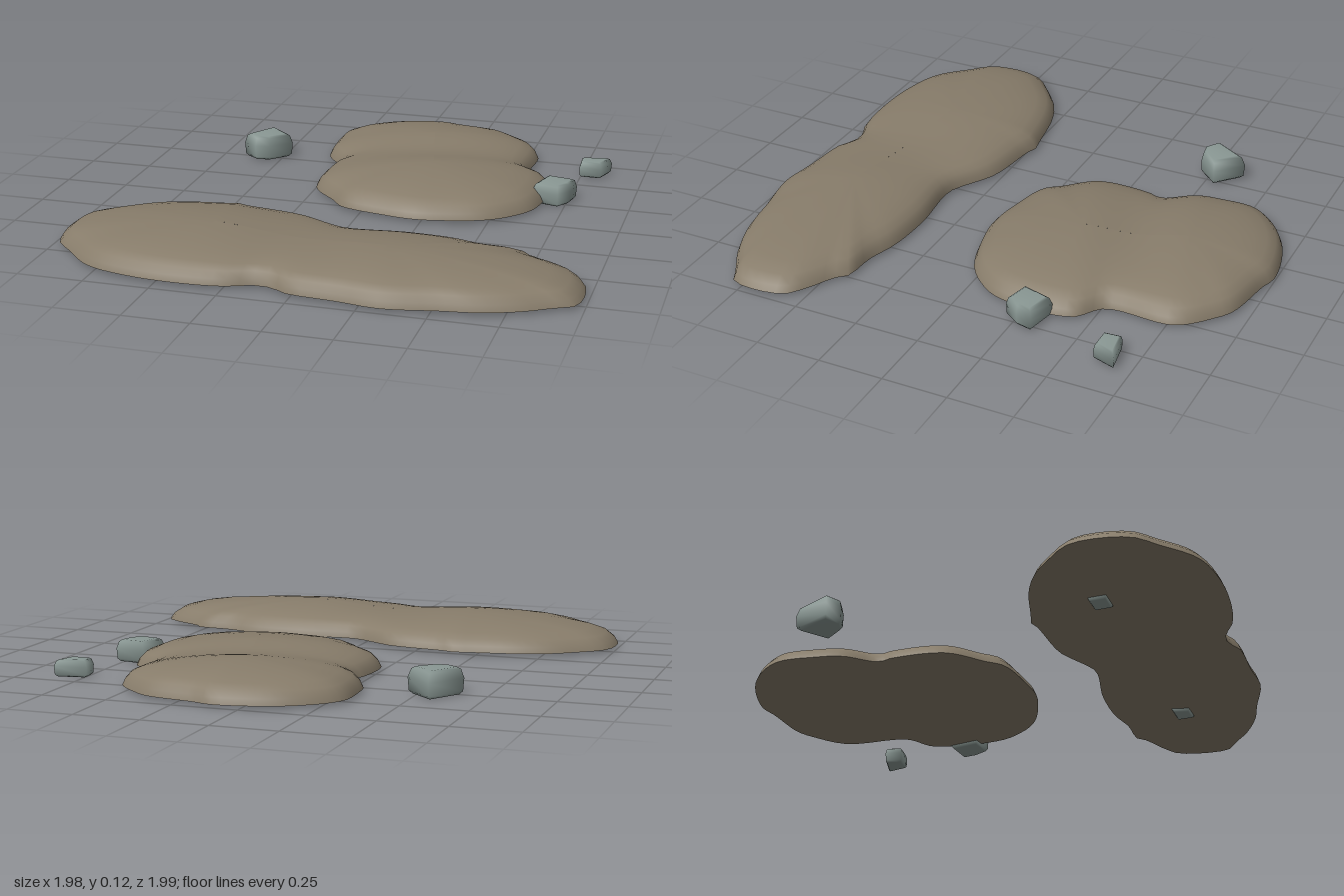
import * as THREE from 'three';
import { mergeVertices } from 'three/addons/utils/BufferGeometryUtils.js';

const earth = new THREE.MeshStandardMaterial({ color: 0x877c6a });
earth.name = 'earth';
const stone = new THREE.MeshStandardMaterial({ color: 0x8a9894 });
stone.name = 'stone';

// Skins stacked rings of points from bottom to top, with optional flat caps.
function loft(rings, capped) {
  const n = rings[0].length;
  const positions = rings.flat().flatMap((p) => p.toArray());
  const index = [];
  for (let i = 0; i < rings.length - 1; i++) {
    for (let j = 0; j < n; j++) {
      const k = (j + 1) % n;
      const a = i * n + j, b = i * n + k, c = b + n, d = a + n;
      index.push(a, d, c, a, c, b);
    }
  }
  if (capped) {
    const top = (rings.length - 1) * n;
    for (let j = 1; j < n - 1; j++) {
      index.push(0, j, j + 1, top, top + j + 1, top + j);
    }
  }
  const geometry = new THREE.BufferGeometry();
  geometry.setAttribute('position', new THREE.Float32BufferAttribute(positions, 3));
  geometry.setIndex(index);
  const merged = mergeVertices(geometry, 1e-4);
  merged.computeVertexNormals();
  return merged;
}

function addMesh(parent, name, geometry, material) {
  const mesh = new THREE.Mesh(geometry, material);
  mesh.name = name;
  parent.add(mesh);
}

// Dome profile: fraction of the way from ridge to rim, and height.
const PROFILE = [[1, 0.012], [0.975, 0.036], [0.92, 0.061], [0.82, 0.079],
  [0.68, 0.094], [0.52, 0.105], [0.35, 0.113], [0.18, 0.118], [0, 0.12]];

// A low mound with two swells, rising from its outline to a short ridge.
function makeMound(name, outline, ridgeStart, ridgeEnd) {
  const group = new THREE.Group();
  group.name = name;
  const curve = new THREE.CatmullRomCurve3(
    outline.map(([x, z]) => new THREE.Vector3(x, 0, z)), true, 'centripetal');
  const rim = curve.getSpacedPoints(96).slice(0, 96);
  const ridge = new THREE.Line3(new THREE.Vector3(ridgeStart[0], 0, ridgeStart[1]),
    new THREE.Vector3(ridgeEnd[0], 0, ridgeEnd[1]));
  const rings = PROFILE.map(([s, height]) => rim.map((p) => {
    const u = ridge.closestPointToPointParameter(p, true);
    const point = ridge.at(u, new THREE.Vector3()).lerp(p, s);
    const dip = 0.15 * Math.sin(Math.PI * u) ** 2 * (1 - s * s);
    point.y = height * (1 - dip);
    return point;
  }));
  addMesh(group, name + 'Top', loft(rings, false), earth);

  // Flat underside
  const shape = new THREE.Shape(rim.map((p) => new THREE.Vector2(p.x, p.z)));
  const base = new THREE.ShapeGeometry(shape).rotateX(Math.PI / 2).translate(0, 0.012, 0);
  addMesh(group, name + 'Underside', base, earth);
  return group;
}

// A blocky worn stone standing on its footprint.
function makeStone(name, footprint, height) {
  const cx = footprint.reduce((sum, p) => sum + p[0], 0) / footprint.length;
  const cz = footprint.reduce((sum, p) => sum + p[1], 0) / footprint.length;
  const levels = [[0, 0.82], [0.12, 0.96], [0.6, 1], [0.92, 0.88], [1, 0.72]];
  const rings = levels.map(([level, s]) => footprint.map(([x, z]) =>
    new THREE.Vector3(cx + (x - cx) * s, level * height, cz + (z - cz) * s)));
  const group = new THREE.Group();
  addMesh(group, name, loft(rings, true), stone);
  return group;
}

export function createModel() {
  const model = new THREE.Group();
  model.name = 'moundsAndStones';

  // Long mound at the front
  model.add(makeMound('frontMound', [
    [-0.46, 0.23], [-0.42, 0.22], [-0.38, 0.235], [-0.14, 0.275], [-0.04, 0.33],
    [0.05, 0.375], [0.3, 0.36], [0.5, 0.375], [0.62, 0.41], [0.76, 0.425],
    [0.79, 0.46], [0.9, 0.52], [0.967, 0.58], [0.97, 0.78], [0.9, 0.82],
    [0.8, 0.88], [0.66, 0.93], [0.53, 0.95], [0.33, 0.985], [0.18, 0.965],
    [-0.03, 0.94], [-0.07, 0.91], [-0.15, 0.905], [-0.24, 0.94], [-0.4, 0.955],
    [-0.6, 0.94], [-0.78, 0.885], [-0.9, 0.77], [-0.98, 0.68], [-0.98, 0.48],
    [-0.88, 0.38], [-0.78, 0.31], [-0.66, 0.265],
  ], [-0.4, 0.6], [0.28, 0.67]));

  // Rounder mound at the back
  model.add(makeMound('backMound', [
    [0.1, -1], [0.17, -0.98], [0.37, -0.94], [0.43, -0.9], [0.54, -0.78],
    [0.55, -0.52], [0.65, -0.43], [0.65, -0.14], [0.58, -0.03], [0.49, 0.04],
    [0.33, 0.09], [0.22, 0.105], [0.11, 0.09], [-0.08, 0.04], [-0.13, -0.02],
    [-0.24, -0.15], [-0.24, -0.36], [-0.22, -0.42], [-0.3, -0.54],
    [-0.315, -0.64], [-0.305, -0.8], [-0.15, -0.94],
  ], [0.12, -0.67], [0.21, -0.28]));

  // Loose stones beside the back mound
  const stones = [
    ['rightStone', [[-0.57, -0.635], [-0.465, -0.54], [-0.54, -0.46], [-0.6, -0.45], [-0.66, -0.49]], 0.1],
    ['leftStone', [[0.655, -0.36], [0.78, -0.335], [0.765, -0.27], [0.725, -0.21], [0.62, -0.235]], 0.085],
    ['backLeftStone', [[0.74, -0.67], [0.865, -0.69], [0.835, -0.6], [0.745, -0.6]], 0.065],
    // Stones buried in the front mound, showing only beneath
    ['buriedLeftStone', [[0.48, 0.61], [0.58, 0.62], [0.57, 0.69], [0.49, 0.68]], 0.06],
    ['buriedRightStone', [[-0.57, 0.46], [-0.48, 0.47], [-0.49, 0.54], [-0.58, 0.53]], 0.06],
  ];
  for (const [name, footprint, height] of stones) model.add(makeStone(name, footprint, height));

  return model;
}
